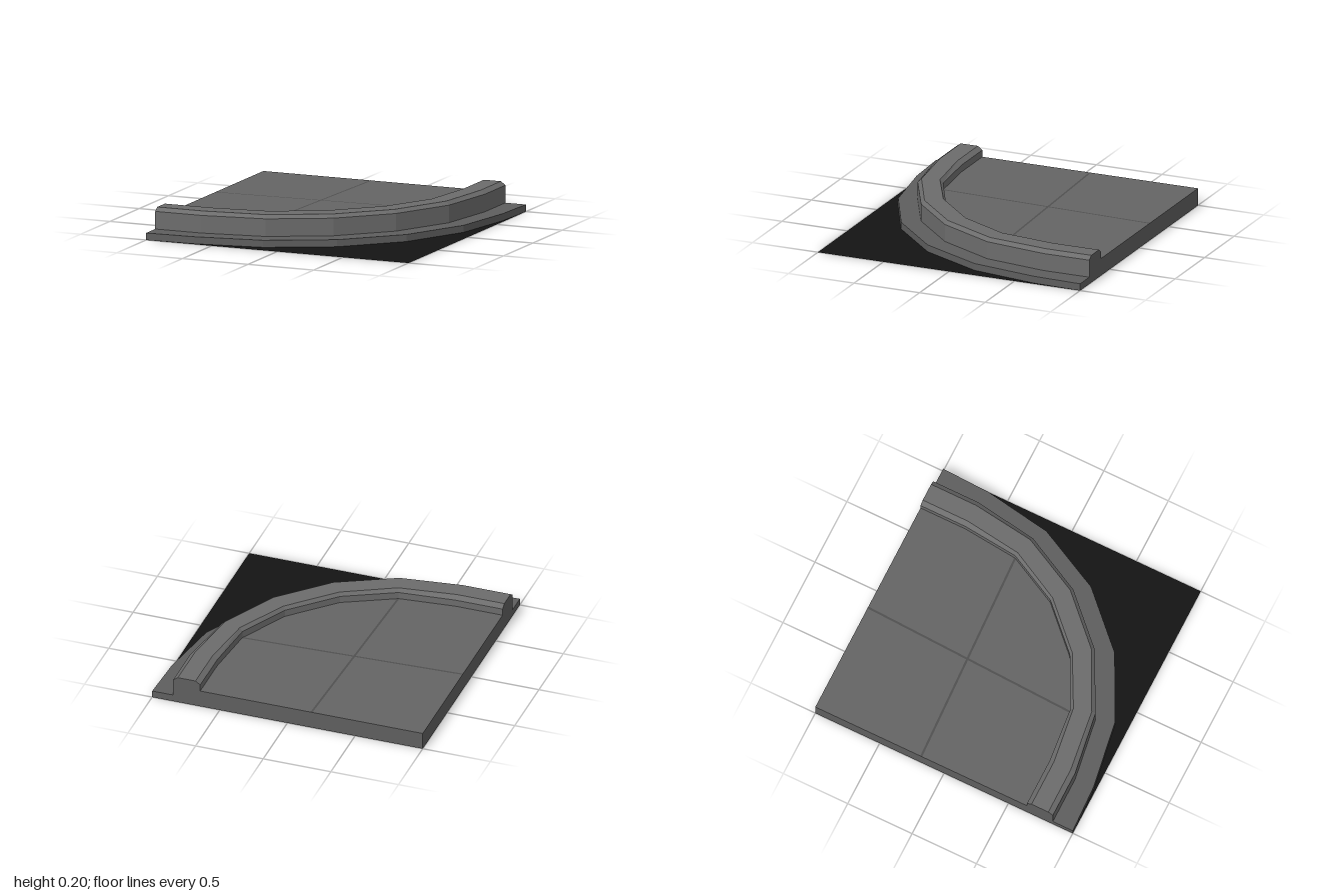
import * as THREE from 'three';

const material = (color) =>
  new THREE.MeshStandardMaterial({ color, flatShading: true, side: THREE.DoubleSide });
const rimMat = material(0x5e5e5e);
const curbMat = material(0x6c6c6c);
const floorMat = material(0x646464);
const seamMat = material(0x505050);
const groundMat = material(0x141414);

const FLOOR = 0.125, RIM = 0.05, SHOULDER = 0.175, TOP = 0.2;

// Half of a rounded corner line as [x, z], mirrored across the diagonal
const corner = (half) => [...half, ...half.slice().reverse().map(([x, z]) => [z, x])];
const rimEdge = corner([[1, -1], [0.985, -0.64], [0.905, -0.15], [0.675, 0.31]]);
const curbOuter = corner([[0.845, -1], [0.845, -0.65], [0.775, -0.19], [0.56, 0.23]]);
const topOuter = corner([[0.81, -1], [0.81, -0.65], [0.75, -0.2], [0.54, 0.215]]);
const topInner = corner([[0.68, -1], [0.68, -0.65], [0.625, -0.235], [0.435, 0.13]]);
const curbInner = corner([[0.645, -1], [0.645, -0.65], [0.605, -0.245], [0.42, 0.12]]);

// Skin a series of [line, height] rows, from the outside inwards
function loft(rows) {
  const pos = [];
  const p = ([line, y], i) => [line[i][0], y, line[i][1]];
  for (let r = 0; r < rows.length - 1; r++) {
    for (let i = 0; i < rows[r][0].length - 1; i++) {
      const a = p(rows[r], i), b = p(rows[r], i + 1);
      const c = p(rows[r + 1], i), d = p(rows[r + 1], i + 1);
      pos.push(...a, ...c, ...b, ...b, ...c, ...d);
    }
  }
  const geo = new THREE.BufferGeometry();
  geo.setAttribute('position', new THREE.Float32BufferAttribute(pos, 3));
  geo.computeVertexNormals();
  return geo;
}

const outline = (points) =>
  new THREE.ShapeGeometry(new THREE.Shape(points.map(([x, y]) => new THREE.Vector2(x, y))));

// Horizontal sheet from [x, z] points
const sheet = (points, y) => outline(points).rotateX(Math.PI / 2).translate(0, y, 0);

export function createModel() {
  const group = new THREE.Group();
  const add = (name, geo, mat) => {
    const mesh = new THREE.Mesh(geo, mat);
    mesh.name = name;
    group.add(mesh);
  };

  // Low outer rim and underside of the slab
  add('rim', loft([[rimEdge, 0], [rimEdge, RIM], [curbOuter, RIM]]), rimMat);
  add('underside', sheet([...rimEdge, [-1, -1]], 0), rimMat);

  // Raised curb with bevelled shoulders
  add('curb', loft([
    [curbOuter, RIM], [curbOuter, SHOULDER], [topOuter, TOP],
    [topInner, TOP], [curbInner, SHOULDER], [curbInner, FLOOR],
  ]), curbMat);

  // Paved floor inside the curb
  add('floor', sheet([...curbInner, [-1, -1]], FLOOR), floorMat);

  // Cut ends of the slab, sharing one cross-section
  const section = [
    [-1, 0], [1, 0], [1, RIM], [0.845, RIM], [0.845, SHOULDER], [0.81, TOP],
    [0.68, TOP], [0.645, SHOULDER], [0.645, FLOOR], [-1, FLOOR],
  ];
  add('backEnd', outline(section).rotateY(Math.PI).scale(-1, 1, 1).translate(0, 0, -1), rimMat);
  add('sideEnd', outline(section).rotateY(-Math.PI / 2).translate(-1, 0, 0), rimMat);

  // Two narrow seams dividing the floor into four panels
  const seam = [[-0.185, -1], [-0.17, -1], [-0.237, 0.602], [-0.252, 0.602]];
  add('lengthSeam', sheet(seam, FLOOR + 0.001), seamMat);
  add('crossSeam', sheet(seam.map(([x, z]) => [z, x]), FLOOR + 0.001), seamMat);

  // Dark flat ground filling the square outside the curve
  add('cornerGround', sheet([...rimEdge, [-1, 1], [1, 1]], 0), groundMat);
  return group;
}
